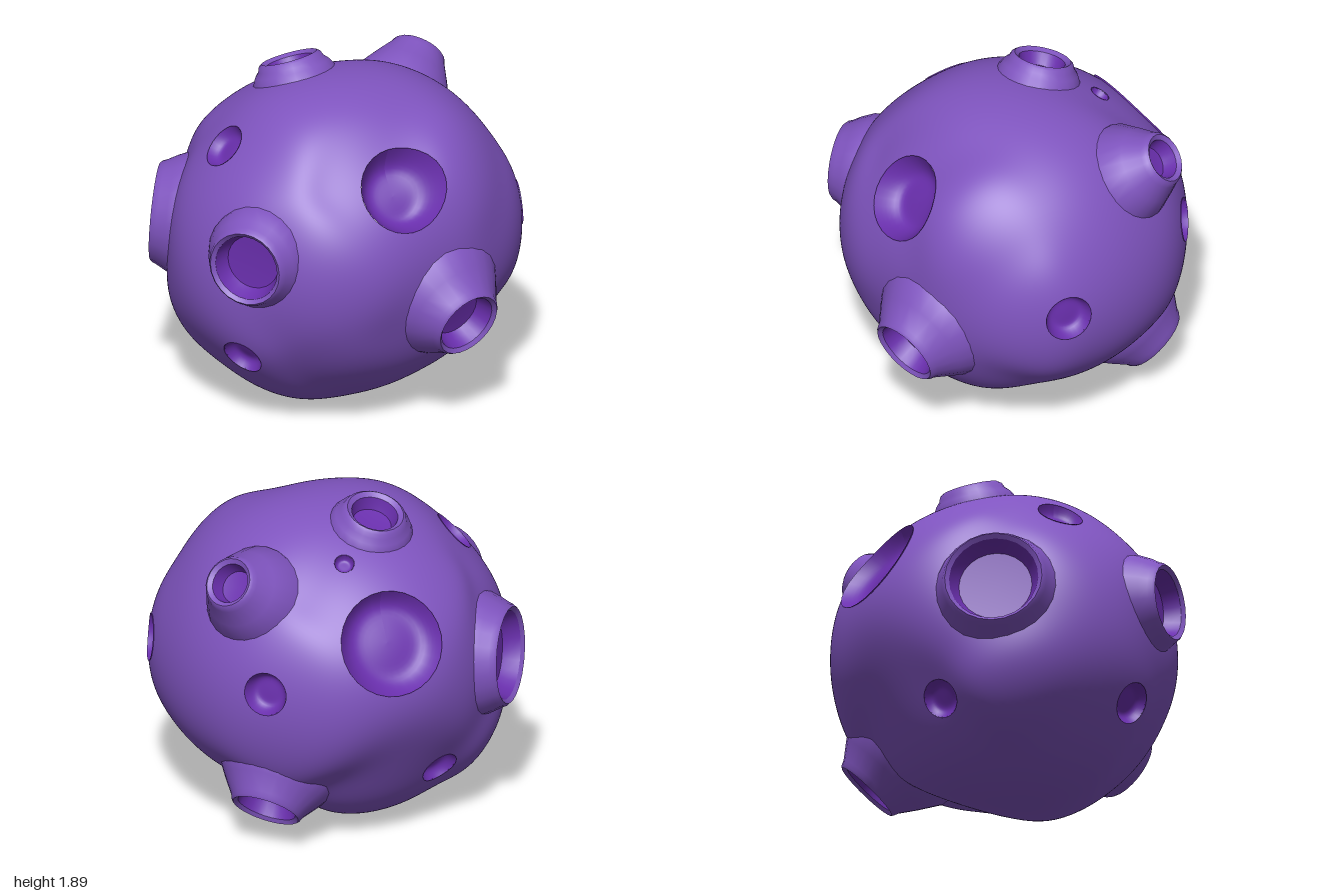
import * as THREE from 'three';
import { mergeVertices, toCreasedNormals } from 'three/addons/utils/BufferGeometryUtils.js';
import { ParametricGeometry } from 'three/addons/geometries/ParametricGeometry.js';

const V = (x, y, z) => new THREE.Vector3(x, y, z);
const CENTER = V(0, 0.9, 0);

// Outlines of the lumpy body on its three middle planes
const outlineXY = [[0, 1.81], [.35, 1.77], [.62, 1.67], [.85, 1.4], [.97, 1.08], [1, .83], [.96, .58], [.74, .38], [.35, .19],
  [.1, .05], [-.2, -.02], [-.5, .08], [-.77, .35], [-.94, .62], [-.96, .9], [-.86, 1.25], [-.66, 1.5], [-.37, 1.75]];
const outlineZY = [[.3, 1.76], [.82, 1.1], [.81, .85], [.77, .6], [.62, .28], [.3, .06], [-.25, 0],
  [-.57, .12], [-.73, .39], [-.86, .66], [-1.01, .95], [-.91, 1.28], [-.7, 1.53], [-.4, 1.72]];
const outlineXZ = [[.4, -.93], [.7, -.7], [.92, -.42], [.96, .42], [.73, .66], [.4, .79], [-.35, .82], [-.68, .6], [-.83, .3],
  [-.88, -.35], [-.64, -.61], [-.4, -.87]];
// Swellings and hollows between those planes
const between = [V(.4, 1.54, .65), V(.4, 1.3, .77), V(-.06, 1.55, .53), V(-.06, 1.24, .77),
  V(-.77, .45, -.47), V(-.38, .36, .6), V(.45, .4, .62)];
const knots = [
  ...outlineXY.map(([x, y]) => V(x, y, 0)),
  ...outlineZY.map(([z, y]) => V(0, y, z)),
  ...outlineXZ.map(([x, z]) => V(x, 0.9, z)),
  ...between,
].map((p) => {
  p.sub(CENTER);
  const r = p.length();
  return { dir: p.normalize(), r };
});

// Body radius in a direction: weighted mean of the nearby outline points
function surface(dir) {
  let sum = 0, total = 0;
  for (const k of knots) {
    const w = Math.exp(22 * (k.dir.dot(dir) - 1));
    sum += w * k.r;
    total += w;
  }
  return sum / total;
}

// Sunken craters: centre, radius, depth
const craters = [
  { name: 'frontCrater', at: V(-.06, 1.375, .66), r: .235, depth: .13 },
  { name: 'backCrater', at: V(.09, 1.29, -.87), r: .29, depth: .11 },
  { name: 'leftFrontCrater', at: V(.92, .97, .38), r: .13, depth: .07 },
  { name: 'leftBackCrater', at: V(.74, 1.02, -.635), r: .12, depth: .07 },
  { name: 'smallTopCrater', at: V(.21, 1.66, -.53), r: .055, depth: .04 },
  { name: 'rightUpperCrater', at: V(-.61, 1.48, -.155), r: .125, depth: .06 },
  { name: 'lowerBackCrater', at: V(-.27, .4, -.69), r: .105, depth: .05 },
  { name: 'rightLowerCrater', at: V(-.82, .41, .22), r: .115, depth: .06 },
];

// Raised vents: rim centre, outer and inner rim radius, base radius, floor depth
const vents = [
  { name: 'frontVent', at: V(.205, .615, .93), ro: .215, ri: .17, rb: .375, depth: .11, axis: V(.05, -.33, .94) },
  { name: 'rightVent', at: V(-.9, 1.04, .385), ro: .23, ri: .185, rb: .29, depth: .1, axis: V(-.87, 0, .48) },
  { name: 'rightBackVent', at: V(-.72, .96, -.68), ro: .29, ri: .245, rb: .355, depth: .1 },
  { name: 'topVent', at: V(-.07, 1.82, -.345), ro: .185, ri: .13, rb: .24, depth: .08 },
  { name: 'leftUpperVent', at: V(.85, 1.615, -.4), ro: .16, ri: .11, rb: .28, depth: .09 },
  { name: 'leftLowerVent', at: V(.67, .245, -.49), ro: .21, ri: .165, rb: .35, depth: .1, axis: V(.56, -.7, -.44) },
];

// Body: sphere with a round hole at every crater and vent
function bodyGeometry() {
  const holes = [
    ...craters.map((c) => ({ dir: c.dir, angle: c.angle })),
    ...vents.map((v) => ({ dir: v.dir, angle: v.ri / v.dist })),
  ];
  const src = new THREE.IcosahedronGeometry(1, 40).getAttribute('position');
  const out = [];
  for (let i = 0; i < src.count; i += 3) {
    const tri = [0, 1, 2].map((j) => V().fromBufferAttribute(src, i + j).normalize());
    const inside = (d, h) => d.angleTo(h.dir) < h.angle;
    if (holes.some((h) => tri.every((d) => inside(d, h)))) continue;
    for (const d of tri) {
      // Corners that reach into a hole move out to its rim
      const h = holes.find((hole) => inside(d, hole));
      if (h) {
        const axis = V().crossVectors(h.dir, d).normalize();
        d.copy(h.dir).applyAxisAngle(axis, h.angle);
      }
      d.multiplyScalar(surface(d));
      out.push(d.x, d.y, d.z);
    }
  }
  let geo = new THREE.BufferGeometry();
  geo.setAttribute('position', new THREE.Float32BufferAttribute(out, 3));
  geo = mergeVertices(geo, 1e-5);
  geo.computeVertexNormals();
  return geo;
}

// Crater bowl hanging from its rim: steep wall, flat floor and a slight lip
function bowlGeometry({ dir, angle, depth }) {
  const side = V().crossVectors(dir, Math.abs(dir.y) > 0.9 ? V(1, 0, 0) : V(0, 1, 0)).normalize();
  const geo = new ParametricGeometry((u, v, target) => {
    const f = 1.012 * (1 - v * v);
    const d = dir.clone().applyAxisAngle(side, f * angle).applyAxisAngle(dir, u * Math.PI * 2);
    target.copy(d).multiplyScalar(surface(d) - depth * (1 - f ** 7));
  }, 28, 14);
  geo.computeVertexNormals();
  return geo;
}

// Turned profile, with y = 0 at the rim
function lathe(points) {
  const geo = new THREE.LatheGeometry(points.map(([x, y]) => new THREE.Vector2(x, y)), 24);
  return toCreasedNormals(geo, 0.7);
}

export function createModel() {
  const model = new THREE.Group();
  const skin = new THREE.MeshStandardMaterial({ color: 0x7f54bf });
  const inner = new THREE.MeshStandardMaterial({ color: 0x6a2fae, side: THREE.DoubleSide });

  for (const c of craters) {
    c.dir = c.at.clone().sub(CENTER).normalize();
    c.angle = c.r / surface(c.dir);
  }
  for (const v of vents) {
    v.dir = v.at.clone().sub(CENTER);
    v.dist = v.dir.length();
    v.dir.normalize();
  }

  const add = (parent, name, geo, mat) => {
    const mesh = new THREE.Mesh(geo, mat);
    mesh.name = name;
    parent.add(mesh);
    return mesh;
  };

  add(model, 'body', bodyGeometry(), skin).position.copy(CENTER);
  for (const c of craters) add(model, c.name, bowlGeometry(c), inner).position.copy(CENTER);

  for (const v of vents) {
    const { ro, ri, rb, depth } = v;
    const drop = v.dist - Math.sqrt(surface(v.dir) ** 2 - rb * rb) + 0.01;
    const vent = new THREE.Group();
    vent.name = v.name;
    vent.position.copy(v.at);
    vent.quaternion.setFromUnitVectors(V(0, 1, 0), (v.axis || v.dir).clone().normalize());
    // Flared flank with a sunken skirt and rounded rim
    add(vent, 'flank', lathe([[rb * 1.02, -drop - .1], [rb, -drop], [ro + (rb - ro) * .45, -drop * .5], [ro, -.03],
      [ro - .01, -.005], [(ro + ri) / 2, .008], [ri, -.01]]), skin);
    // Inner wall and floor
    add(vent, 'pit', lathe([[ri, -.01], [ri * .92, -depth * .6], [ri * .82, -depth], [0, -depth - .01]]), inner);
    model.add(vent);
  }
  return model;
}
